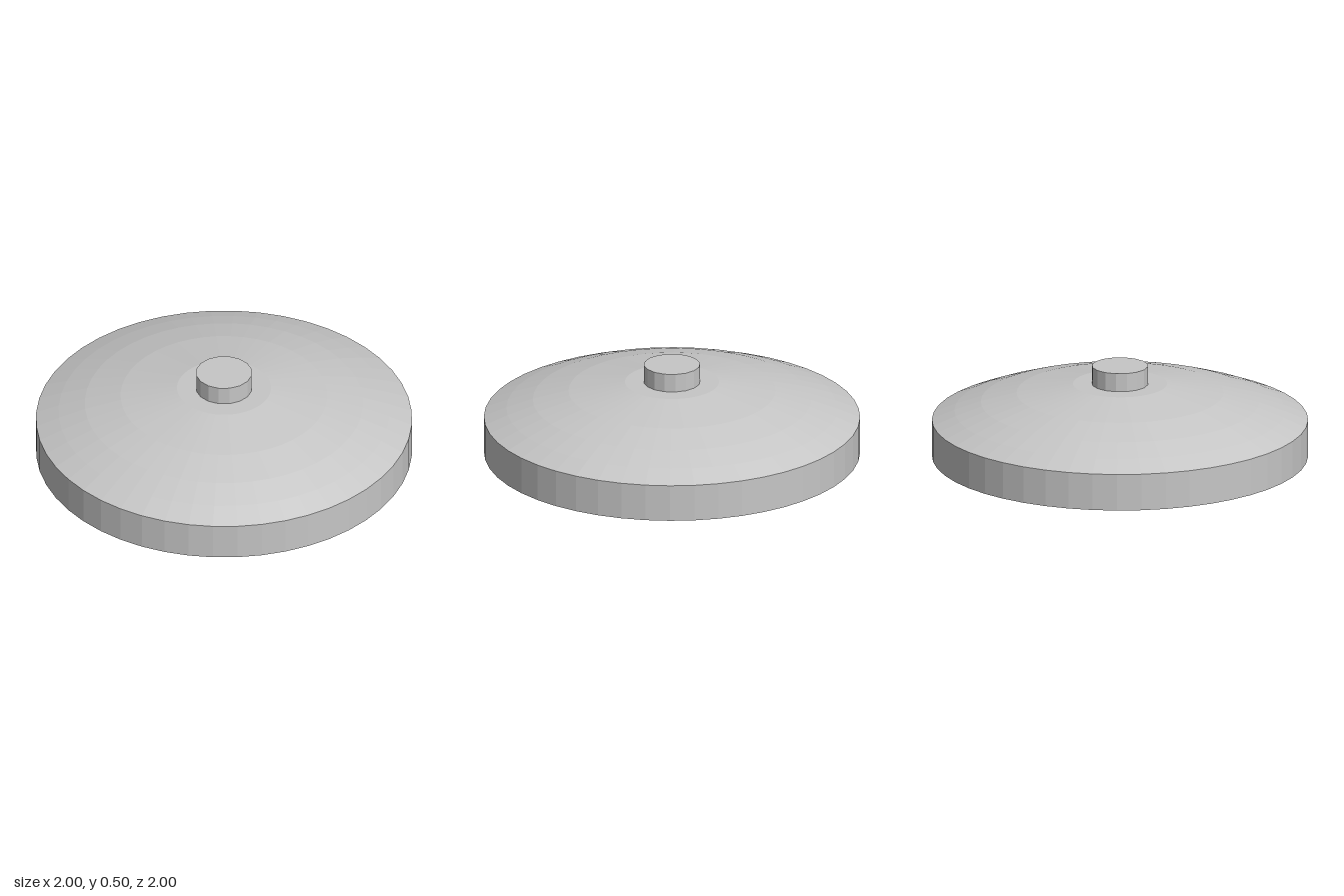
import * as THREE from 'three';

const grey = new THREE.MeshStandardMaterial({ color: 0xc6c6c6, flatShading: true });
grey.name = 'light grey plastic';

// Revolve a [radius, height] profile, listed anticlockwise so faces point outward
function turned(name, profile, sides) {
  const points = profile.map(([r, y]) => new THREE.Vector2(r, y));
  const mesh = new THREE.Mesh(new THREE.LatheGeometry(points, sides), grey);
  mesh.name = name;
  return mesh;
}

export function createModel() {
  const model = new THREE.Group();
  model.name = 'roundDish';

  // Hollow domed shell: underside, thick rim, stepped dome
  model.add(turned('dish', [
    [0, 0.3], [0.25, 0.3], [0.51, 0.26], [0.71, 0.2], [0.9, 0.125],
    [0.9, 0], [1, 0], [1, 0.2],
    [0.88, 0.25], [0.74, 0.3], [0.55, 0.35], [0.25, 0.4], [0, 0.4],
  ], 48));

  // Stepped socket hanging under the middle
  model.add(turned('socket', [
    [0, 0.125], [0.15, 0.125], [0.15, 0], [0.2, 0],
    [0.2, 0.125], [0.25, 0.125], [0.25, 0.3],
  ], 16));

  // Knob on top
  model.add(turned('knob', [[0.15, 0.4], [0.15, 0.5], [0, 0.5]], 16));

  return model;
}
